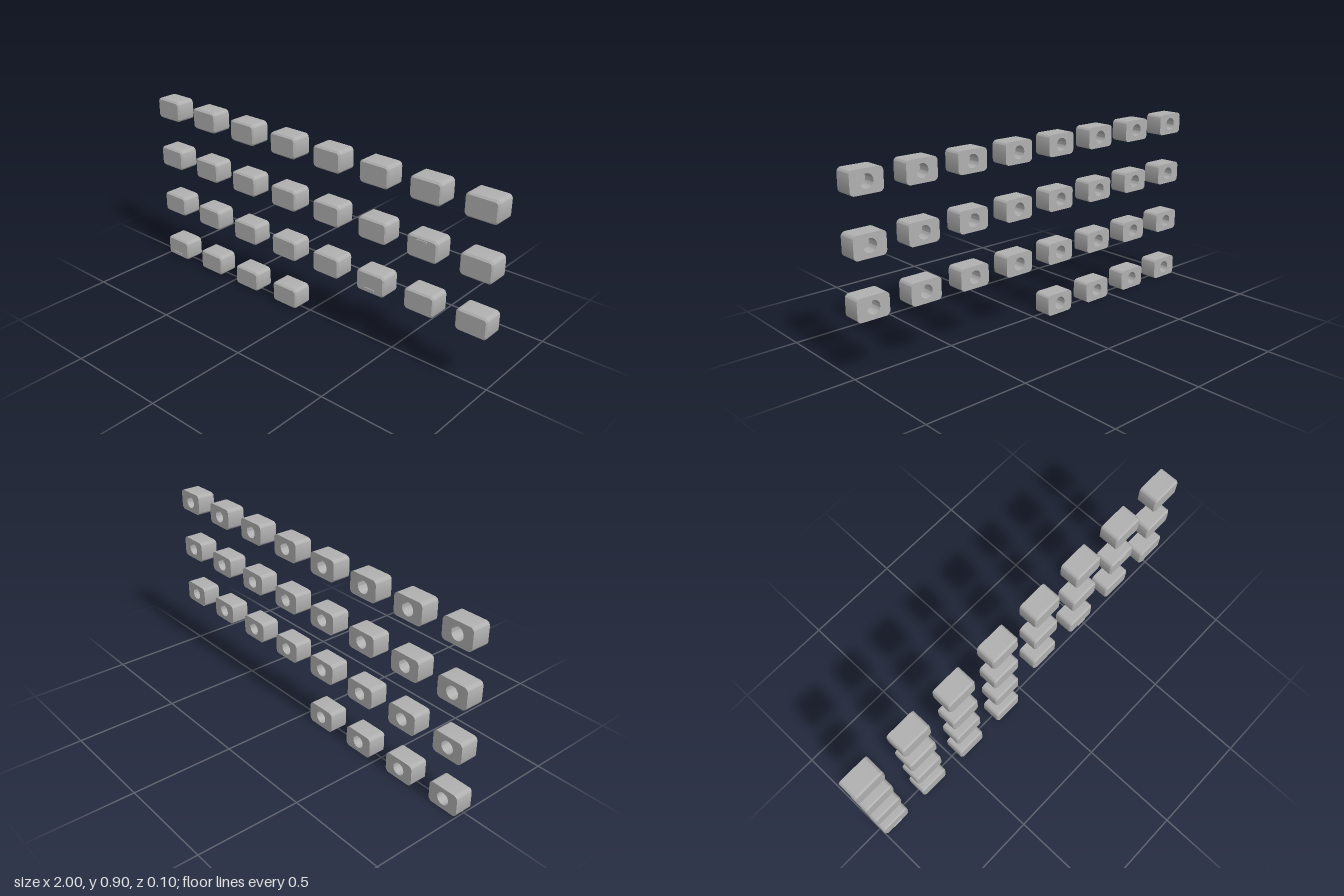
import * as THREE from 'three';
import { mergeGeometries, toCreasedNormals } from 'three/addons/utils/BufferGeometryUtils.js';

const W = 0.156, H = 0.105, R = 0.02;      // keycap size and corner radius
const BACK = -0.0515, FRONT = 0.047, BEVEL = 0.008;
const HOLE_R = 0.031, HOLE_DEPTH = 0.06;
const PITCH = 0.2634;

// Rounded rectangle outline, anticlockwise, shrunk by inset
function outline(inset) {
  const pts = [], r = R - inset, n = 6;
  const corners = [[1, 1], [-1, 1], [-1, -1], [1, -1]];
  corners.forEach(([sx, sy], c) => {
    for (let i = 0; i <= n; i++) {
      const a = (c + i / n) * Math.PI / 2;
      pts.push(new THREE.Vector2(
        sx * (W / 2 - R) + r * Math.cos(a),
        sy * (H / 2 - R) + r * Math.sin(a)));
    }
  });
  return pts;
}

// Side walls joining the outlines at successive depths
function loft(sections) {
  const pos = [], idx = [];
  let n = 0;
  for (const [z, inset] of sections) {
    const ring = outline(inset);
    n = ring.length;
    ring.forEach(p => pos.push(p.x, p.y, z));
  }
  for (let s = 0; s < sections.length - 1; s++) {
    for (let i = 0; i < n; i++) {
      const a = s * n + i, b = s * n + (i + 1) % n;
      idx.push(a, b, b + n, a, b + n, a + n);
    }
  }
  const g = new THREE.BufferGeometry();
  g.setAttribute('position', new THREE.Float32BufferAttribute(pos, 3));
  g.setIndex(idx);
  return g;
}

function keycapGeometry() {
  const walls = loft([[BACK, 0], [FRONT - BEVEL, 0], [FRONT, BEVEL]]);
  const face = new THREE.ShapeGeometry(new THREE.Shape(outline(BEVEL))).translate(0, 0, FRONT);

  // Back plate with the round stem socket
  const backShape = new THREE.Shape(outline(0));
  backShape.holes.push(new THREE.Path().absarc(0, 0, HOLE_R, 0, Math.PI * 2, true));
  const back = new THREE.ShapeGeometry(backShape, 16).rotateY(Math.PI).translate(0, 0, BACK);
  const socket = new THREE.CylinderGeometry(HOLE_R, HOLE_R, HOLE_DEPTH, 32, 1, true)
    .rotateX(Math.PI / 2).scale(-1, 1, 1).translate(0, 0, BACK + HOLE_DEPTH / 2);
  const floor = new THREE.CircleGeometry(HOLE_R, 32)
    .rotateY(Math.PI).translate(0, 0, BACK + HOLE_DEPTH);

  const parts = [walls, face, back, socket, floor].map(g => {
    const p = g.toNonIndexed();
    p.deleteAttribute('uv');
    p.deleteAttribute('normal');
    return p;
  });
  return toCreasedNormals(mergeGeometries(parts), Math.PI / 6);
}

export function createModel() {
  const model = new THREE.Group();
  model.name = 'keycapSet';
  const grey = new THREE.MeshStandardMaterial({ color: 0xb0b0b0 });
  grey.name = 'grey';

  const capGeo = keycapGeometry();
  const ridgeGeo = new THREE.BoxGeometry(0.053, 0.011, 0.007);
  // Finger ridges: row from the bottom, column, height on the face
  const ridges = [[0, 0, -0.031], [1, 5, -0.031], [2, 6, 0.034]];

  for (let row = 0; row < 4; row++) {
    const count = row === 0 ? 4 : 8;
    for (let col = 0; col < count; col++) {
      const key = new THREE.Group();
      key.name = `key${row}_${col}`;
      key.position.set((col - 3.5) * PITCH, H / 2 + row * PITCH, 0);
      const cap = new THREE.Mesh(capGeo, grey);
      cap.name = 'keycap';
      key.add(cap);
      for (const [r, c, y] of ridges) {
        if (r !== row || c !== col) continue;
        const ridge = new THREE.Mesh(ridgeGeo, grey);
        ridge.name = 'fingerRidge';
        ridge.position.set(0, y, 0.048);
        key.add(ridge);
      }
      model.add(key);
    }
  }
  return model;
}
